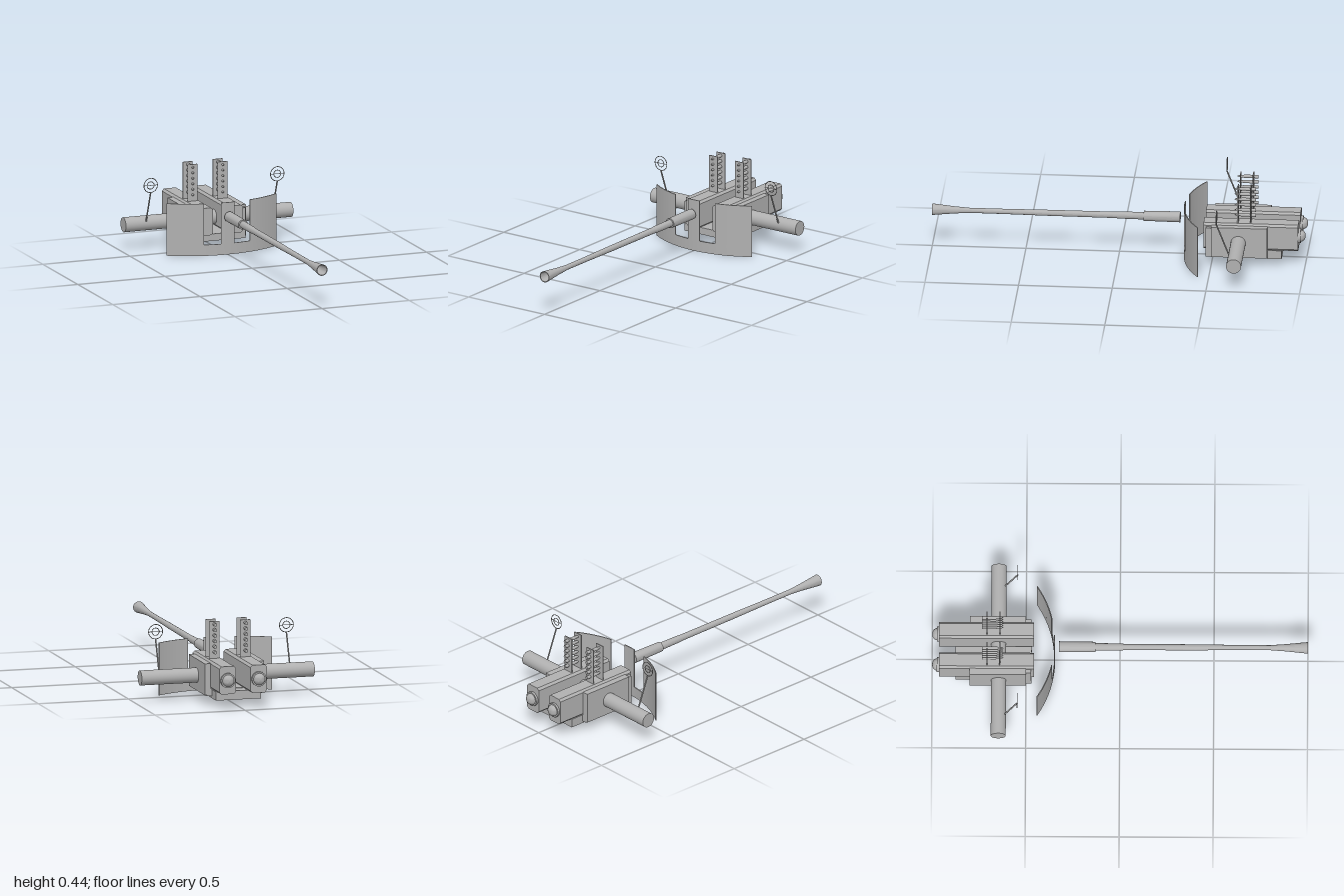
import * as THREE from 'three';
import { toCreasedNormals } from 'three/addons/utils/BufferGeometryUtils.js';

const steel = new THREE.MeshStandardMaterial({ color: 0xb0b0b0, side: THREE.DoubleSide });
steel.name = 'grey steel';

export function createModel() {
  const model = new THREE.Group();

  function add(name, geometry, x = 0, y = 0, z = 0, parent = model) {
    const mesh = new THREE.Mesh(geometry, steel);
    mesh.name = name;
    mesh.position.set(x, y, z);
    parent.add(mesh);
    return mesh;
  }
  // Box given by its limits on each axis
  function box(name, x0, x1, y0, y1, z0, z1) {
    return add(name, new THREE.BoxGeometry(x1 - x0, y1 - y0, z1 - z0),
      (x0 + x1) / 2, (y0 + y1) / 2, (z0 + z1) / 2);
  }
  // Turned part along +z from [radius, z] points
  function turned(points, segments = 24) {
    const g = new THREE.LatheGeometry(points.map(([r, z]) => new THREE.Vector2(r, z)), segments);
    return toCreasedNormals(g.rotateX(Math.PI / 2), 0.5);
  }
  function rod(name, a, b, radius, parent) {
    const path = new THREE.LineCurve3(new THREE.Vector3(...a), new THREE.Vector3(...b));
    return add(name, new THREE.TubeGeometry(path, 1, radius, 8), 0, 0, 0, parent);
  }

  // Long barrel with rear sleeve, gentle taper and a hollow flared muzzle
  add('barrel', turned([
    [0, -0.325], [0.029, -0.325], [0.027, -0.13], [0.02, -0.13], [0.019, 0], [0.017, 0.02],
    [0.016, 0.4], [0.014, 0.6], [0.0135, 0.8], [0.019, 0.88], [0.027, 0.96], [0.031, 1],
    [0.027, 1], [0.02, 0.94], [0.011, 0.85], [0, 0.85],
  ]), 0, 0.21, 0);

  // Curved shield with two slots open at the top
  const R = 0.57, wall = 0.005, centre = 0.915;
  function shieldPanel(x0, x1, y0, y1) {
    const a0 = Math.asin(x0 / R) - Math.PI / 2, a1 = Math.asin(x1 / R) - Math.PI / 2;
    const s = new THREE.Shape();
    s.absarc(0, centre, R, a0, a1, false);
    s.absarc(0, centre, R - wall, a1, a0, true);
    const g = new THREE.ExtrudeGeometry(s, { depth: y1 - y0, bevelEnabled: false, curveSegments: 20 });
    add('shieldPanel', toCreasedNormals(g.rotateX(-Math.PI / 2), 0.5), 0, y0, 0);
  }
  shieldPanel(-0.315, 0.315, 0, 0.06);
  shieldPanel(-0.315, -0.131, 0.06, 0.285);
  shieldPanel(-0.039, 0.039, 0.06, 0.285);
  shieldPanel(0.131, 0.315, 0.06, 0.285);

  // Cradle and trunnion
  box('cradleFloor', -0.15, 0.15, 0.05, 0.088, -0.8, -0.47);
  box('rearCrossBlock', -0.125, 0.125, 0.037, 0.085, -0.875, -0.745);
  const trunnion = add('trunnion', new THREE.CylinderGeometry(0.04, 0.04, 0.96, 32), 0, 0.138, -0.646);
  trunnion.rotation.z = Math.PI / 2;

  // Receiver cross-section with chamfered corners
  const w = 0.046, h = 0.075, c = 0.012;
  const section = new THREE.Shape([
    [-w + c, -h], [w - c, -h], [w, -h + c], [w, h - c], [w - c, h], [-w + c, h], [-w, h - c], [-w, -h + c],
  ].map(([x, y]) => new THREE.Vector2(x, y)));

  for (const side of [-1, 1]) {
    const x = side * 0.086;
    add('receiver', new THREE.ExtrudeGeometry(section, { depth: 0.505, bevelEnabled: false }), x, 0.16, -0.963);
    add('rearCap', turned([[0, -0.037], [0.014, -0.035], [0.025, -0.028], [0.031, -0.018],
      [0.032, -0.012], [0.04, -0.012], [0.04, 0]]), x, 0.16, -0.963);
    const near = side * 0.13, far = side * 0.165;
    box('cradleCheek', Math.min(near, far), Math.max(near, far), 0.055, 0.225, -0.8, -0.5);
    const inner = side * 0.152;
    box('cheekLiner', Math.min(near, inner), Math.max(near, inner), 0.05, 0.215, -0.8, -0.472);

    // Feed rack: two upright plates holding a stack of cartridges
    const feed = new THREE.Group();
    feed.name = 'feedRack';
    feed.position.x = x;
    model.add(feed);
    for (const z of [-0.64, -0.708])
      add('feedPlate', new THREE.BoxGeometry(0.056, 0.205, 0.006), 0, 0.3335, z, feed);
    for (let i = 0; i < 6; i++)
      add('cartridge', turned([[0, -0.058], [0.009, -0.058], [0.009, 0.015], [0.006, 0.03],
        [0.006, 0.045], [0, 0.058]], 12), 0, 0.27 + i * 0.03, -0.677, feed);

    // Ring sight on a slanted stalk
    const sight = new THREE.Group();
    sight.name = 'ringSight';
    sight.position.x = side * 0.363;
    model.add(sight);
    rod('sightStalk', [0, 0.155, -0.612], [0, 0.326, -0.546], 0.004, sight);
    for (const r of [0.039, 0.02])
      add('sightRing', new THREE.TorusGeometry(r, 0.002, 6, 32), 0, 0.365, -0.546, sight);
    rod('sightBar', [-0.039, 0.365, -0.546], [0.039, 0.365, -0.546], 0.0015, sight);
  }
  return model;
}
